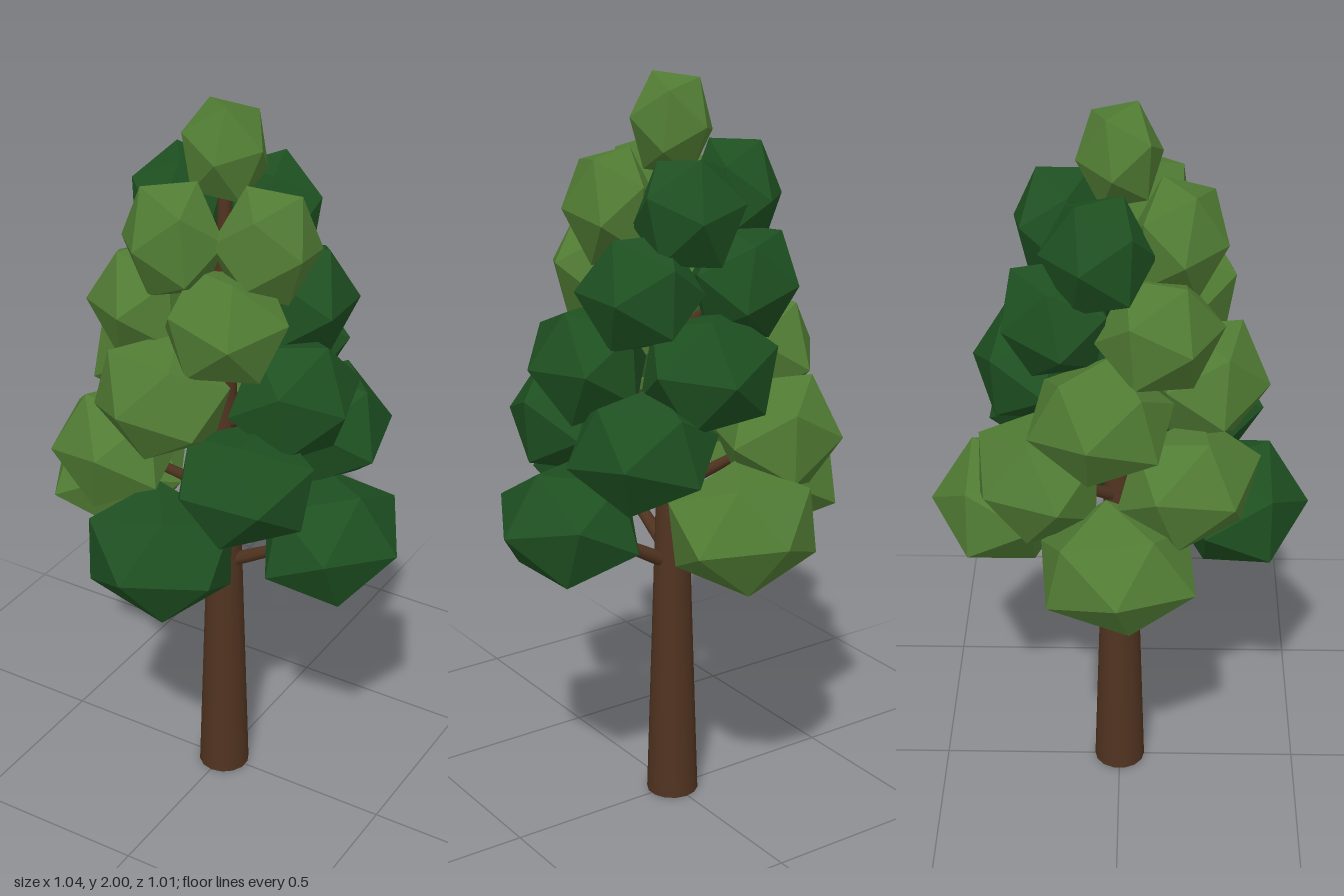
import * as THREE from 'three';

const mat = (name, color, flatShading = false) => {
  const m = new THREE.MeshStandardMaterial({ color, flatShading });
  m.name = name;
  return m;
};

// Faceted clump with one corner aimed along +z, fitted to half-sizes (width, height, depth)
function clumpGeometry(w, h, d, twist) {
  const g = new THREE.IcosahedronGeometry(1, 0);
  g.rotateX(Math.atan(2 / (1 + Math.sqrt(5))));
  g.rotateZ(twist);
  g.computeBoundingBox();
  const b = g.boundingBox.max;
  g.scale(w / b.x, h / b.y, d / b.z);
  return g;
}

// Tapered round limb between two points
function limb(from, to, r0, r1, sides, material) {
  const dir = to.clone().sub(from);
  const mesh = new THREE.Mesh(new THREE.CylinderGeometry(r1, r0, dir.length(), sides), material);
  mesh.position.copy(from).addScaledVector(dir, 0.5);
  mesh.quaternion.setFromUnitVectors(new THREE.Vector3(0, 1, 0), dir.normalize());
  return mesh;
}

export function createModel() {
  const tree = new THREE.Group();
  tree.name = 'tree';
  const bark = mat('bark', 0x503320);
  const light = mat('lightLeaves', 0x517c34, true);
  const dark = mat('darkLeaves', 0x1e5021, true);

  // Trunk: sturdy base, thin leader through the crown
  const trunk = new THREE.Mesh(new THREE.CylinderGeometry(0.015, 0.071, 1.8, 14), bark);
  trunk.name = 'trunk';
  trunk.position.set(0.003, 0.9, 0);
  tree.add(trunk);

  // Rings of four clumps: start angle in degrees from the front, ring radius,
  // half-sizes, then height and colour of the front, left, back and right clump
  const rings = [
    { a: 0, r: 0.312, size: [0.198, 0.15, 0.193], y: [0.885, 0.868, 0.885, 0.888], cols: [dark, dark, light, light] },
    { a: 41, r: 0.274, size: [0.178, 0.15, 0.172], y: [1.09, 1.095, 1.075, 1.075], cols: [dark, dark, light, light] },
    { a: -11, r: 0.229, size: [0.172, 0.15, 0.163], y: [1.285, 1.275, 1.285, 1.265], cols: [light, dark, dark, light] },
    { a: 32, r: 0.192, size: [0.15, 0.143, 0.148], y: [1.49, 1.48, 1.485, 1.475], cols: [light, dark, dark, light] },
    { a: -19, r: 0.158, size: [0.132, 0.145, 0.126], y: [1.68, 1.672, 1.672, 1.68], cols: [light, light, dark, dark] },
  ];

  rings.forEach((ring, level) => {
    ring.cols.forEach((col, i) => {
      const angle = THREE.MathUtils.degToRad(ring.a + 90 * i);
      const x = Math.sin(angle) * ring.r * 1.05;
      const z = Math.cos(angle) * ring.r;
      const y = ring.y[i];

      const clump = new THREE.Mesh(clumpGeometry(...ring.size, 0.3 + level * 0.5 + i * 0.37), col);
      clump.name = `leafClump${level + 1}_${i + 1}`;
      clump.position.set(x, y, z);
      clump.rotation.y = angle;
      tree.add(clump);

      // Branch rising from the trunk into the clump
      const start = new THREE.Vector3(0, y - 0.19 + level * 0.01, 0);
      const end = new THREE.Vector3(x * 0.9, y - 0.02, z * 0.9);
      const thick = 0.021 - level * 0.0025;
      const branch = limb(start, end, thick, thick * 0.6, 8, bark);
      branch.name = `branch${level + 1}_${i + 1}`;
      tree.add(branch);
    });
  });

  // Crown tip
  const tip = new THREE.Mesh(clumpGeometry(0.105, 0.128, 0.112, 0.5), light);
  tip.name = 'crownTip';
  tip.position.set(0.005, 1.872, 0);
  tip.rotation.y = 0.3;
  tree.add(tip);

  return tree;
}
